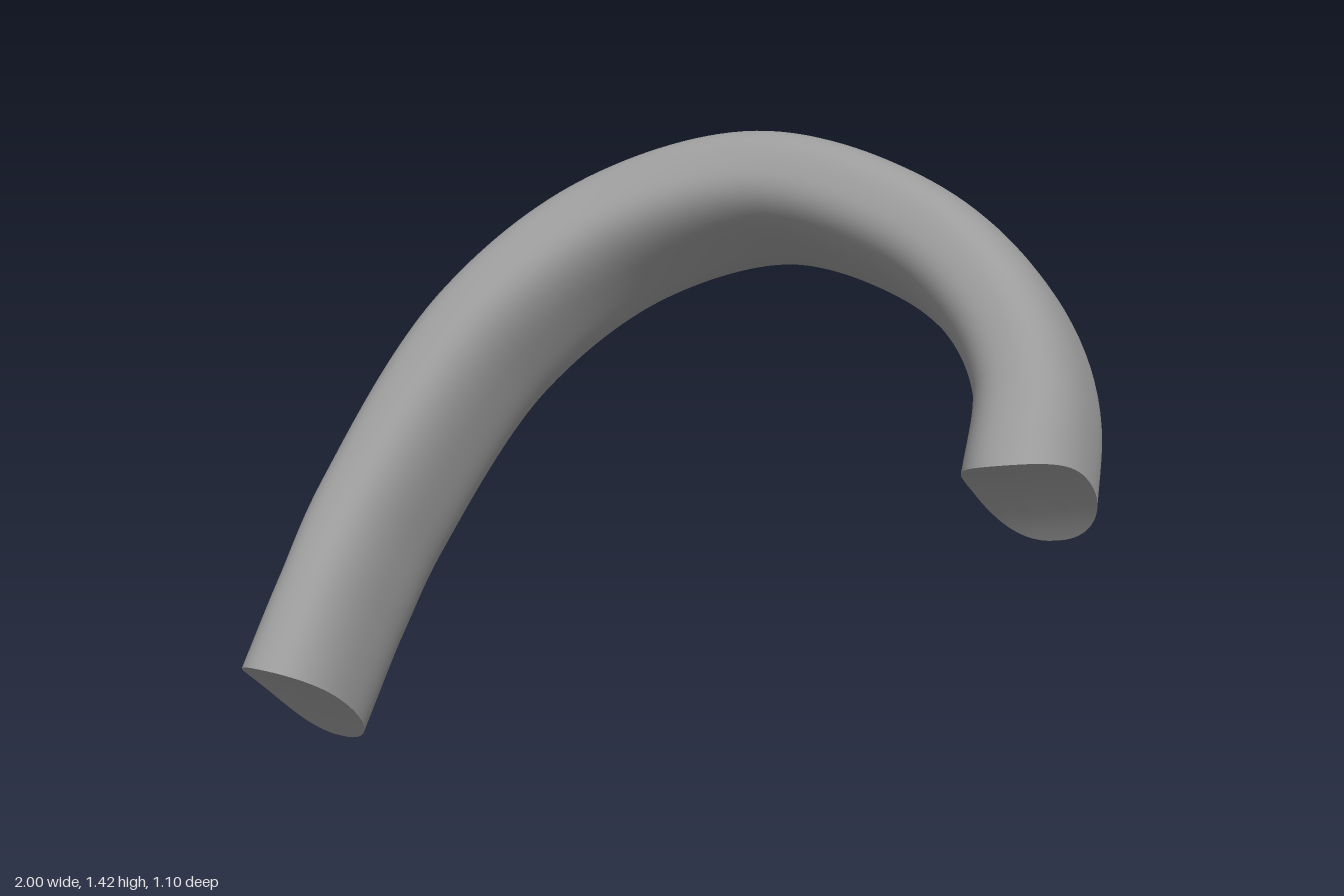
import * as THREE from 'three';
import { toCreasedNormals } from 'three/addons/utils/BufferGeometryUtils.js';

const SIDES = 56, STEPS = 110;

// Centre line of the leaning arch, from the low end to the high end
const centreLine = new THREE.CatmullRomCurve3([
  [-0.86, 0.125, 0.355], [-0.785, 0.32, 0.2], [-0.705, 0.5, 0.05], [-0.455, 0.88, -0.215],
  [-0.13, 1.12, -0.35], [0.25, 1.232, -0.318], [0.6, 1.157, -0.12],
  [0.785, 1.015, 0.075], [0.855, 0.85, 0.225], [0.825, 0.645, 0.395],
].map((p) => new THREE.Vector3(...p)), false, 'centripetal');
const length = centreLine.getLength();

// Direction of the broad side of the band, square to the plane of the arch
const broad = new THREE.Vector3(-0.2, 0.59, 0.79).normalize();

// One cross-section: a rounded oblong at u, shrunk by scale for the end caps
function section(u, scale) {
  const centre = centreLine.getPointAt(u);
  const tangent = centreLine.getTangentAt(u);
  const across = broad.clone().addScaledVector(tangent, -broad.dot(tangent)).normalize();
  const normal = across.clone().cross(tangent);
  // both legs twist a little towards the low side
  across.addScaledVector(normal, -(0.15 + 0.1 * u) * normal.x).normalize();
  normal.crossVectors(across, tangent);

  const near = Math.max(0, 1 - Math.min(u, 1 - u) * length / 0.25); // 1 at either end
  const crown = Math.sin(Math.PI * u); // 1 at the top of the arch
  const dent = near * (u < 0.5 ? 0.02 : -0.045);
  const width = 0.213 + 0.006 * crown - 0.006 * near;
  const thick = 0.106 + 0.02 * u + 0.013 * crown + 0.014 * near;
  const power = 2 / (2.35 + 0.5 * crown);
  const soften = (v) => Math.sign(v) * Math.abs(v) ** power * scale;
  const ring = [];
  for (let j = 0; j < SIDES; j++) {
    const a = (j / SIDES) * Math.PI * 2;
    const s = soften(Math.sin(a));
    ring.push(centre.clone()
      .addScaledVector(normal, soften(Math.cos(a)) * thick)
      .addScaledVector(across, s * width)
      .addScaledVector(tangent, dent * (1 - s * s))); // hollowed end faces
  }
  return ring;
}

function archGeometry() {
  // Cap rings grow from a point, the band follows, and the far cap closes to a point
  const capScales = [0, 0.3, 0.6, 0.85];
  const rings = capScales.map((s) => section(0, s));
  for (let i = 0; i <= STEPS; i++) rings.push(section(i / STEPS, 1));
  for (const s of capScales.reverse()) rings.push(section(1, s));

  const index = [];
  for (let i = 0; i < rings.length - 1; i++) {
    for (let j = 0; j < SIDES; j++) {
      const a = i * SIDES + j, b = i * SIDES + (j + 1) % SIDES;
      const c = b + SIDES, d = a + SIDES;
      if (i > 0) index.push(a, b, d);
      if (i < rings.length - 2) index.push(b, c, d);
    }
  }
  const geometry = new THREE.BufferGeometry().setFromPoints(rings.flat());
  geometry.setIndex(index);
  return toCreasedNormals(geometry, 0.7);
}

export function createModel() {
  const group = new THREE.Group();
  group.name = 'curvedArch';
  const arch = new THREE.Mesh(archGeometry(), new THREE.MeshStandardMaterial({ color: 0x9c9c9c }));
  arch.name = 'archBand';
  group.add(arch);
  return group;
}
